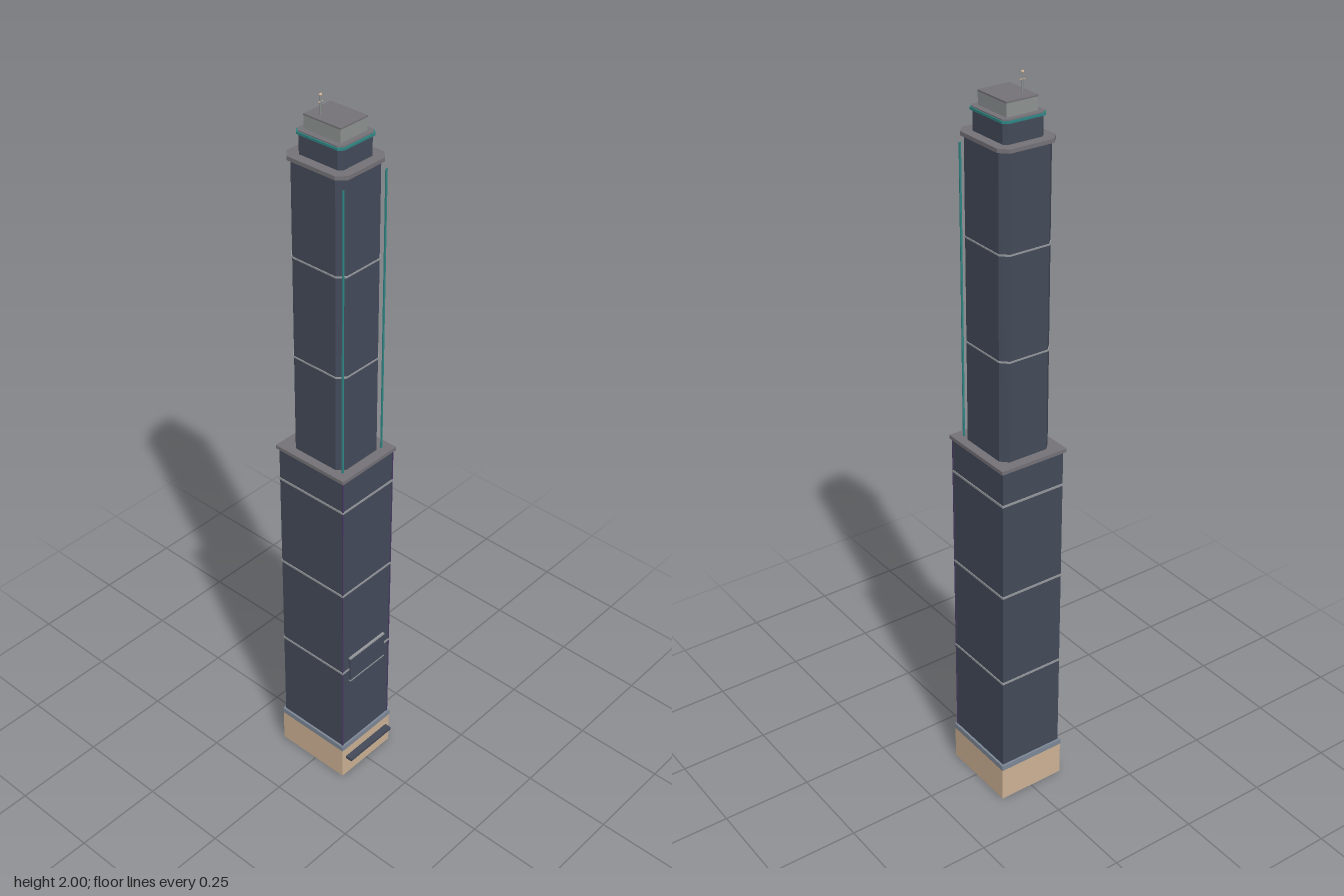
import * as THREE from 'three';

const paint = (name, color, side = THREE.FrontSide) => {
  const m = new THREE.MeshStandardMaterial({ color, side });
  m.name = name;
  return m;
};

// centre of the tower in plan
const CX = -0.001, CZ = -0.0105;

export function createModel() {
  const tower = new THREE.Group();
  tower.name = 'skyscraper';

  const glass = paint('dark blue glass', 0x434a59);
  const stone = paint('tan stone', 0xcdb294, THREE.DoubleSide);
  const roofGrey = paint('roof grey', 0x747277);
  const trim = paint('pale trim', 0x94969a);
  const ledgeBlue = paint('blue grey ledge', 0x7c8796);
  const teal = paint('teal light', 0x2f8583);
  const violet = paint('violet light', 0x4a3a66);
  const plant = paint('plant room grey', 0x8d9392);

  const add = (name, geometry, material, x = 0, y = 0, z = 0) => {
    const mesh = new THREE.Mesh(geometry, material);
    mesh.name = name;
    mesh.position.set(x, y, z);
    tower.add(mesh);
    return mesh;
  };

  // box standing from y0 to y1, centred on the tower axis unless told otherwise
  const box = (name, material, w, d, y0, y1, x = CX, z = CZ) =>
    add(name, new THREE.BoxGeometry(w, y1 - y0, d), material, x, (y0 + y1) / 2, z);

  // prism with cut corners standing from y0 to y1
  const prism = (name, material, w, d, cut, y0, y1) => {
    const a = w / 2, b = d / 2;
    const outline = new THREE.Shape([
      [-a + cut, -b], [a - cut, -b], [a, -b + cut], [a, b - cut],
      [a - cut, b], [-a + cut, b], [-a, b - cut], [-a, -b + cut],
    ].map(([x, y]) => new THREE.Vector2(x, y)));
    const geo = new THREE.ExtrudeGeometry(outline, { depth: y1 - y0, bevelEnabled: false });
    geo.rotateX(-Math.PI / 2);
    return add(name, geo, material, CX, y0, CZ);
  };

  // hollow plinth, open underneath
  const W = 0.196, D = 0.227;
  for (const s of [-1, 1]) {
    const face = new THREE.PlaneGeometry(W, 0.1);
    if (s < 0) face.rotateY(Math.PI);
    add('plinthWall', face, stone, CX, 0.05, CZ + s * D / 2);
    const side = new THREE.PlaneGeometry(D, 0.1).rotateY(s * Math.PI / 2);
    add('plinthWall', side, stone, CX + s * W / 2, 0.05, CZ);
  }
  box('plinthLedge', ledgeBlue, 0.198, 0.229, 0.099, 0.115);
  box('entranceCanopy', glass, 0.168, 0.022, 0.061, 0.069, CX, 0.112);

  // lower shaft with trim bands and roof slab
  box('lowerShaft', glass, 0.186, 0.217, 0.115, 1.035);
  for (const y of [0.39, 0.665, 0.94])
    box('lowerBand', trim, 0.19, 0.221, y - 0.003, y + 0.003);
  box('lowerRoof', roofGrey, 0.198, 0.229, 1.035, 1.045);

  // framed panel on the front
  box('frontPanel', glass, 0.136, 0.006, 0.35, 0.43, CX, 0.101);
  for (const y of [0.35, 0.43])
    box('panelFrame', trim, 0.138, 0.007, y - 0.002, y + 0.002, CX, 0.1015);

  // upper shaft with cut corners, bands and cornice
  prism('upperShaft', glass, 0.15, 0.173, 0.019, 1.045, 1.845);
  for (const y of [1.32, 1.595])
    prism('upperBand', trim, 0.154, 0.177, 0.019, y - 0.002, y + 0.002);
  prism('upperRoof', roofGrey, 0.164, 0.187, 0.021, 1.843, 1.853);

  // light strips standing at the front corners
  for (const s of [-1, 1]) {
    box('upperLightStrip', teal, 0.005, 0.003, 1.045, 1.82, CX + s * 0.072, 0.078);
    box('lowerLightStrip', violet, 0.003, 0.003, 0.115, 1.035, CX + s * 0.093, 0.098);
  }

  // crown tier with a teal rim
  prism('crown', glass, 0.114, 0.135, 0.009, 1.853, 1.904);
  prism('crownRim', teal, 0.124, 0.145, 0.011, 1.903, 1.909);
  prism('crownRoof', roofGrey, 0.118, 0.139, 0.01, 1.904, 1.912);

  // plant room
  box('plantRoom', plant, 0.088, 0.11, 1.912, 1.945);
  box('plantRoomRoof', roofGrey, 0.089, 0.111, 1.944, 1.948);

  // mast
  add('mast', new THREE.CylinderGeometry(0.0015, 0.002, 0.052, 8), plant, -0.025, 1.974, -0.033);
  add('mastTip', new THREE.SphereGeometry(0.004, 10, 8), stone, -0.025, 1.996, -0.033);
  box('mastBar', stone, 0.014, 0.002, 1.978, 1.98, -0.025, -0.033);

  return tower;
}
